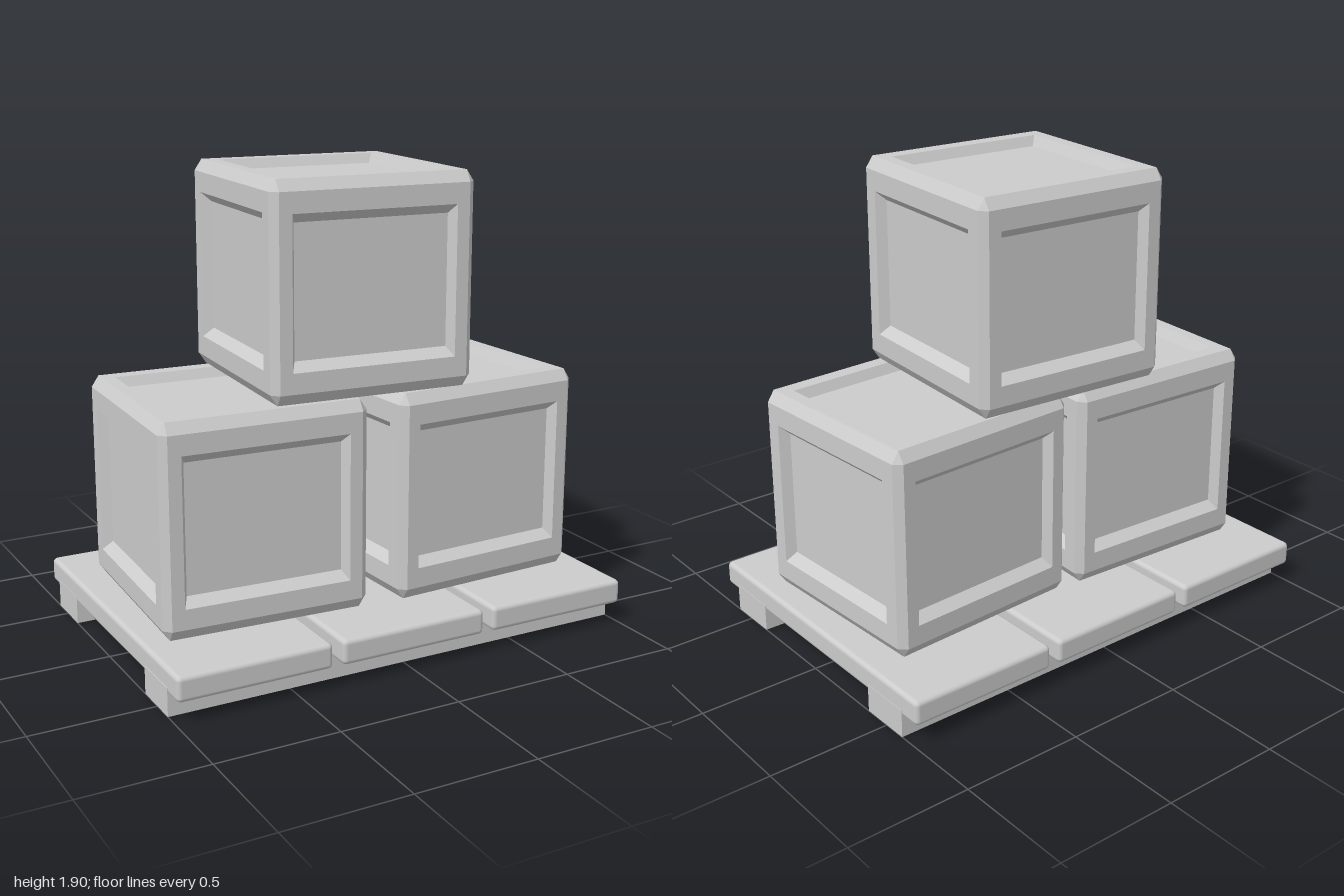
import * as THREE from 'three';
import { RoundedBoxGeometry } from 'three/addons/geometries/RoundedBoxGeometry.js';

const HALF = 0.4275;                  // half the crate size
const CHAMFER = [0.03, 0.045, 0.03];  // edge cut along x, y, z
const PANEL = [0.345, 0.30, 0.335];   // half size of the recess opening
const SLOPE = [0.022, 0.037, 0.022];  // inset of the recess floor
const DEPTH = 0.04;

// Chamfered crate with a sloped recess in each of its six faces
function crateGeometry() {
  const positions = [];
  const a = new THREE.Vector3(), b = new THREE.Vector3();

  // Adds a convex polygon, wound so that it faces the outward direction
  function polygon(points, outward) {
    a.subVectors(points[1], points[0]);
    b.subVectors(points[2], points[0]);
    const p = a.cross(b).dot(outward) < 0 ? [...points].reverse() : points;
    for (let i = 1; i < p.length - 1; i++) {
      for (const v of [p[0], p[i], p[i + 1]]) positions.push(v.x, v.y, v.z);
    }
  }
  // Point whose coordinates are given per axis
  const at = (i, vi, j, vj, k, vk) =>
    new THREE.Vector3().setComponent(i, vi).setComponent(j, vj).setComponent(k, vk);
  const flat = HALF - 0;
  const cut = (i) => HALF - CHAMFER[i];

  for (let i = 0; i < 3; i++) {
    const j = (i + 1) % 3, k = (i + 2) % 3;
    for (const s of [-1, 1]) {
      // Face: frame, sloped recess walls, recess floor
      const outward = new THREE.Vector3().setComponent(i, s);
      const ring = (level, hj, hk) => [[-1, -1], [1, -1], [1, 1], [-1, 1]]
        .map(([u, v]) => at(i, s * level, j, u * hj, k, v * hk));
      const rings = [
        ring(flat, cut(j), cut(k)),
        ring(flat, PANEL[j], PANEL[k]),
        ring(flat - DEPTH, PANEL[j] - SLOPE[j], PANEL[k] - SLOPE[k]),
      ];
      for (let r = 0; r < 2; r++) {
        for (let n = 0; n < 4; n++) {
          const m = (n + 1) % 4;
          polygon([rings[r][n], rings[r][m], rings[r + 1][m], rings[r + 1][n]], outward);
        }
      }
      polygon(rings[2], outward);

      // Chamfers along the edges parallel to axis k
      for (const t of [-1, 1]) {
        polygon([
          at(i, s * flat, j, t * cut(j), k, -cut(k)),
          at(i, s * flat, j, t * cut(j), k, cut(k)),
          at(i, s * cut(i), j, t * flat, k, cut(k)),
          at(i, s * cut(i), j, t * flat, k, -cut(k)),
        ], at(i, s, j, t, k, 0));
      }
    }
  }

  // Corner triangles
  for (const x of [-1, 1]) for (const y of [-1, 1]) for (const z of [-1, 1]) {
    polygon([
      new THREE.Vector3(x * flat, y * cut(1), z * cut(2)),
      new THREE.Vector3(x * cut(0), y * flat, z * cut(2)),
      new THREE.Vector3(x * cut(0), y * cut(1), z * flat),
    ], new THREE.Vector3(x, y, z));
  }

  const geometry = new THREE.BufferGeometry();
  geometry.setAttribute('position', new THREE.Float32BufferAttribute(positions, 3));
  geometry.computeVertexNormals();
  return geometry;
}

export function createModel() {
  const model = new THREE.Group();
  model.name = 'cratesOnPallet';
  const grey = new THREE.MeshStandardMaterial({ color: 0xcccccc });
  grey.name = 'lightGrey';

  function add(name, geometry, x, y, z, turn = 0) {
    const mesh = new THREE.Mesh(geometry, grey);
    mesh.name = name;
    mesh.position.set(x, y, z);
    mesh.rotation.y = turn;
    model.add(mesh);
  }

  // Pallet: two runners under three wide planks
  const pallet = new THREE.BoxGeometry(2, 0.115, 0.22);
  add('frontRunner', pallet, 0, 0.0575, 0.49);
  add('backRunner', pallet, 0, 0.0575, -0.49);
  const plank = new RoundedBoxGeometry(0.637, 0.103, 1.386, 2, 0.02);
  ['rightPlank', 'middlePlank', 'leftPlank'].forEach((name, n) => {
    add(name, plank, (n - 1) * 0.6795, 0.1385, 0);
  });

  // Three crates, each turned slightly
  const crate = crateGeometry();
  add('rightCrate', crate, -0.476, 0.6175, 0, -0.05);
  add('leftCrate', crate, 0.473, 0.6175, 0.014, 0.055);
  add('topCrate', crate, -0.004, 1.4725, 0.001, -0.07);

  return model;
}
